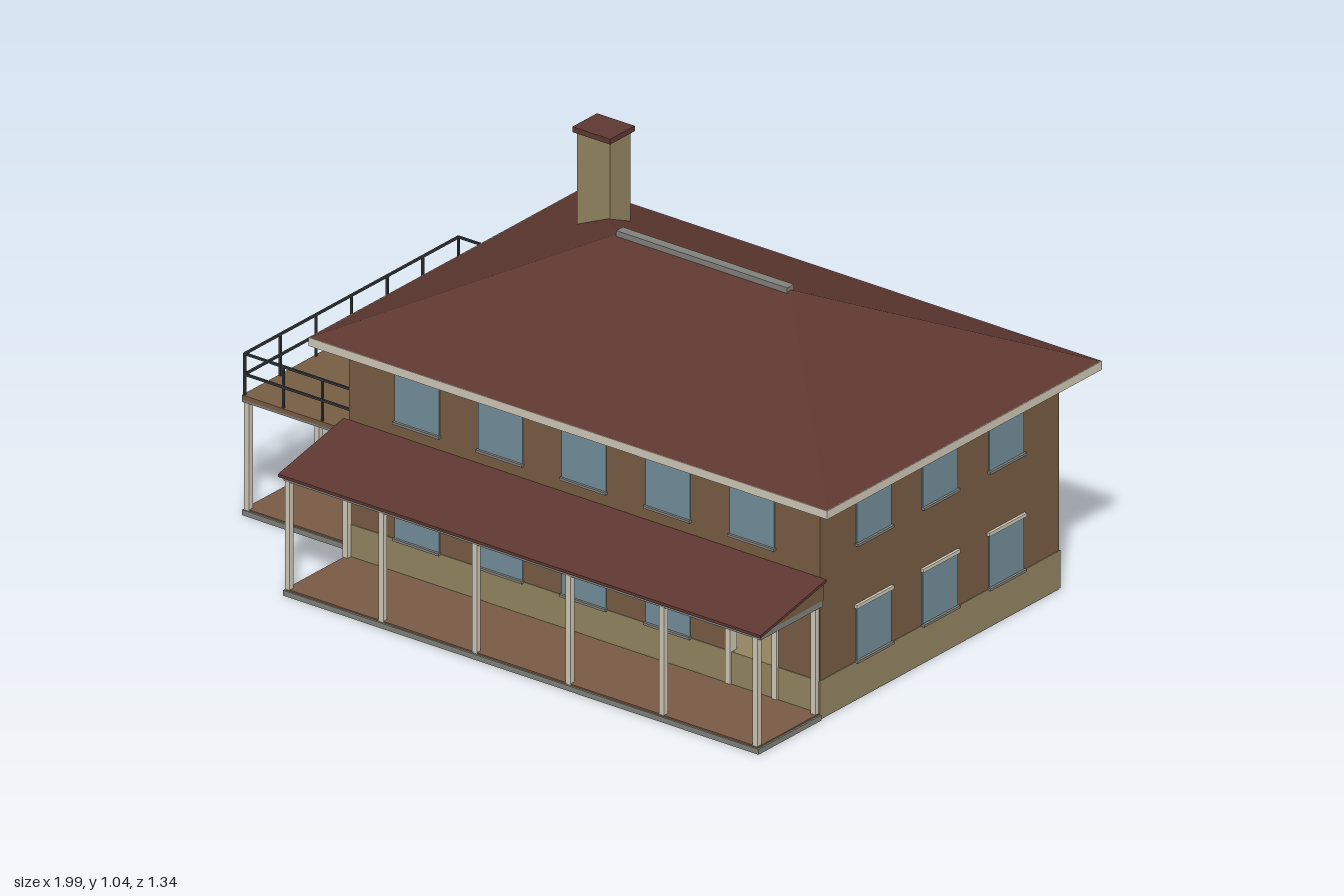
import * as THREE from 'three';
import { ConvexGeometry } from 'three/addons/geometries/ConvexGeometry.js';

const mat = (name, color) => {
  const m = new THREE.MeshStandardMaterial({ color });
  m.name = name;
  return m;
};

export function createModel() {
  const brick = mat('brown brick', 0x775c43);
  const stone = mat('olive stone', 0x938461);
  const tile = mat('red roof tile', 0x5e3831);
  const cream = mat('cream trim', 0xcfc8b6);
  const glass = mat('blue glass', 0x728d99);
  const grey = mat('grey concrete', 0x80807b);
  const wood = mat('deck boards', 0x785a45);
  const iron = mat('dark iron', 0x34393c);

  const house = new THREE.Group();
  house.name = 'house';

  const add = (parent, name, geo, material) => {
    const m = new THREE.Mesh(geo, material);
    m.name = name;
    parent.add(m);
    return m;
  };
  // Box given by its minimum and maximum on each axis
  const box = (parent, name, material, x0, x1, y0, y1, z0, z1) => {
    const m = add(parent, name, new THREE.BoxGeometry(x1 - x0, y1 - y0, z1 - z0), material);
    m.position.set((x0 + x1) / 2, (y0 + y1) / 2, (z0 + z1) / 2);
    return m;
  };
  const hull = (parent, name, material, pts) =>
    add(parent, name, new ConvexGeometry(pts.map(p => new THREE.Vector3(...p))), material);

  const X0 = -0.61, X1 = 0.915, Z0 = -0.595, Z1 = 0.395;
  const CX = (X0 + X1) / 2, CZ = (Z0 + Z1) / 2;

  // Solid stone plinth over a thin concrete footing
  box(house, 'footing', grey, X0, X1, 0, 0.004, Z0, Z1);
  box(house, 'plinth', stone, X0 - 0.002, X1 + 0.002, 0.004, 0.11, Z0 - 0.002, Z1 + 0.002);

  // Window: glass plate, lintel and sill on the outer face of a wall
  const addWindow = (wall, u, y) => {
    const g = new THREE.Group();
    g.name = 'window';
    g.position.set(u, y, 0);
    wall.add(g);
    box(g, 'pane', glass, -0.072, 0.072, 0, 0.15, 0, 0.003);
    box(g, 'lintel', cream, -0.077, 0.077, 0.15, 0.16, 0, 0.008);
    box(g, 'sill', grey, -0.075, 0.075, -0.004, 0.003, 0, 0.01);
  };
  // Door frame around an opening
  const addDoorFrame = (wall, u, y0, y1) => {
    const g = new THREE.Group();
    g.name = 'doorFrame';
    wall.add(g);
    for (const s of [-1, 1])
      box(g, 'jamb', cream, u + s * 0.075 - 0.008, u + s * 0.075 + 0.008, y0, y1, -0.02, 0.008);
    box(g, 'doorLintel', cream, u - 0.083, u + 0.083, y1, y1 + 0.01, -0.02, 0.008);
  };

  // Wall with door openings; its outer face lies in the local z = 0 plane
  const facade = (name, width, x, z, turn, columns, lowDoor, highDoor) => {
    const wall = new THREE.Group();
    wall.name = name;
    wall.position.set(x, 0, z);
    wall.rotation.y = turn;
    house.add(wall);
    const rect = (C, u0, u1, y0, y1) => new C()
      .moveTo(u0, y0).lineTo(u1, y0).lineTo(u1, y1).lineTo(u0, y1).closePath();
    const shape = rect(THREE.Shape, -width / 2, width / 2, 0.1, 0.615);
    columns.forEach((u, i) => {
      if (i === lowDoor) {
        shape.holes.push(rect(THREE.Path, u - 0.067, u + 0.067, 0.11, 0.27));
        addDoorFrame(wall, u, 0.02, 0.27);
      } else addWindow(wall, u, 0.111);
      if (i === highDoor) {
        shape.holes.push(rect(THREE.Path, u - 0.067, u + 0.067, 0.34, 0.585));
        addDoorFrame(wall, u, 0.335, 0.585);
      } else addWindow(wall, u, 0.44);
    });
    const geo = new THREE.ExtrudeGeometry(shape, { depth: 0.02, bevelEnabled: false });
    add(wall, 'wallPanel', geo.translate(0, 0, -0.02), brick);
  };
  const long = [-0.54, -0.27, 0, 0.272, 0.545];
  const short = [-0.274, 0, 0.274];
  facade('frontWall', X1 - X0, CX, Z1, 0, long, 4, -1);
  facade('backWall', X1 - X0, CX, Z0, Math.PI, long.map(u => -u), 4, -1);
  facade('leftWall', Z1 - Z0, X1, CZ, Math.PI / 2, short, -1, -1);
  facade('rightWall', Z1 - Z0, X0, CZ, -Math.PI / 2, short, -1, 1);

  // Hipped roof on a cream eave slab
  box(house, 'eaves', cream, -0.685, 0.995, 0.615, 0.639, -0.67, 0.467);
  hull(house, 'hipRoof', tile, [
    [-0.683, 0.639, -0.668], [0.993, 0.639, -0.668], [0.993, 0.639, 0.465], [-0.683, 0.639, 0.465],
    [-0.12, 0.888, -0.1], [0.43, 0.888, -0.1],
  ]);
  box(house, 'ridgeCap', grey, -0.122, 0.432, 0.878, 0.898, -0.115, -0.087);

  // Chimney
  box(house, 'chimney', stone, -0.398, -0.291, 0.66, 1.025, -0.363, -0.277);
  box(house, 'chimneyCap', tile, -0.407, -0.285, 1.025, 1.04, -0.372, -0.27);

  // Front porch
  const porch = new THREE.Group();
  porch.name = 'frontPorch';
  house.add(porch);
  box(porch, 'porchSlab', grey, -0.62, 0.92, 0, 0.015, Z1, 0.655);
  box(porch, 'porchFloor', wood, -0.615, 0.915, 0.015, 0.019, Z1, 0.65);
  box(porch, 'porchCeiling', grey, -0.62, 0.925, 0.323, 0.341, Z1, 0.652);
  const gable = [];
  for (const x of [-0.62, 0.927]) gable.push([x, 0.341, Z1], [x, 0.341, 0.652], [x, 0.396, Z1]);
  hull(porch, 'porchGable', brick, gable);
  const roof = [];
  for (const x of [-0.627, 0.936])
    roof.push([x, 0.394, Z1], [x, 0.402, Z1], [x, 0.337, 0.667], [x, 0.345, 0.667]);
  hull(porch, 'porchRoof', tile, roof);
  const post = (parent, x, z, y0, y1) =>
    box(parent, 'post', cream, x - 0.008, x + 0.008, y0, y1, z - 0.008, z + 0.008);
  for (let i = 0; i < 6; i++) post(porch, -0.61 + i * 0.303, 0.642, 0.015, 0.323);
  for (const x of [-0.61, 0.905]) post(porch, x, 0.403, 0.015, 0.323);

  // Side porch with a balcony on top
  const side = new THREE.Group();
  side.name = 'sidePorch';
  house.add(side);
  const BX = -0.998, BZ0 = -0.552, BZ1 = 0.342;
  box(side, 'sideSlab', grey, BX, X0, 0, 0.015, BZ0, BZ1);
  box(side, 'sideFloor', wood, BX + 0.005, X0, 0.015, 0.019, BZ0 + 0.005, BZ1 - 0.005);
  box(side, 'balconySoffit', grey, BX, X0, 0.32, 0.326, BZ0, BZ1);
  box(side, 'balconyDeck', brick, BX, X0, 0.326, 0.339, BZ0, BZ1);
  for (let i = 0; i < 4; i++) post(side, -0.986, -0.54 + i * 0.29, 0.015, 0.32);
  for (const z of [-0.54, 0.33]) post(side, -0.62, z, 0.015, 0.32);

  // Balcony railing on three sides
  const railing = new THREE.Group();
  railing.name = 'balconyRailing';
  side.add(railing);
  const r = 0.003, RX = BX + 0.005, RZ0 = BZ0 + 0.005, RZ1 = BZ1 - 0.005;
  const upright = (x, z) => box(railing, 'upright', iron, x - r, x + r, 0.339, 0.457, z - r, z + r);
  for (const y of [0.397, 0.455]) {
    box(railing, 'longRail', iron, RX - r, RX + r, y - r, y + r, RZ0, RZ1);
    for (const z of [RZ0, RZ1]) box(railing, 'endRail', iron, RX, X0, y - r, y + r, z - r, z + r);
  }
  for (let i = 0; i <= 6; i++) upright(RX, RZ0 + (i / 6) * (RZ1 - RZ0));
  for (const z of [RZ0, RZ1])
    for (let i = 1; i <= 3; i++) upright(RX + i * 0.126, z);

  return house;
}
